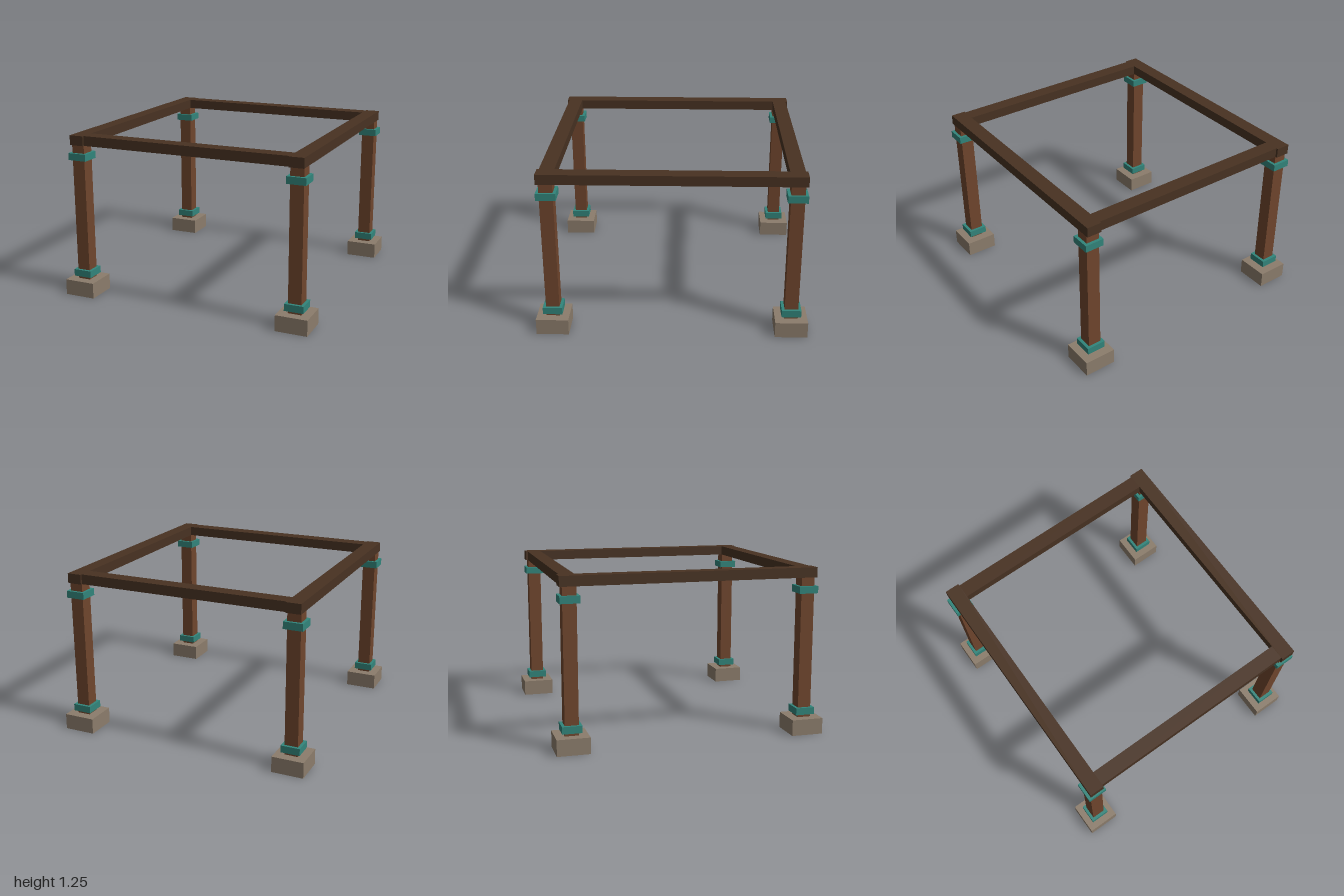
import * as THREE from 'three';

const material = (name, color) => {
  const m = new THREE.MeshStandardMaterial({ color });
  m.name = name;
  return m;
};

export function createModel() {
  const model = new THREE.Group();
  model.name = 'pergolaFrame';

  const stone = material('stone', 0x8c7d6c);
  const postWood = material('post wood', 0x70462d);
  const beamWood = material('beam wood', 0x483222);
  const teal = material('teal band', 0x32857b);

  // Box resting on height y0, centred on x and z
  const box = (parent, name, mat, [w, h, d], x, y0, z) => {
    const mesh = new THREE.Mesh(new THREE.BoxGeometry(w, h, d), mat);
    mesh.name = name;
    mesh.position.set(x, y0 + h / 2, z);
    parent.add(mesh);
  };

  const px = 0.86, pz = 0.88; // post centres
  const beamY = 1.172, beamH = 0.074, beamW = 0.11;

  // Four posts, each with a stone footing and two bands
  for (const sx of [-1, 1]) {
    for (const sz of [-1, 1]) {
      const corner = new THREE.Group();
      corner.name = `${sz > 0 ? 'front' : 'back'}${sx > 0 ? 'Left' : 'Right'}Post`;
      corner.position.set(sx * px, 0, sz * pz);
      box(corner, 'footing', stone, [0.24, 0.12, 0.24], 0, 0, 0);
      box(corner, 'post', postWood, [0.1, beamY - 0.12, 0.1], 0, 0.12, 0);
      box(corner, 'lowerBand', teal, [0.144, 0.053, 0.144], 0, 0.142, 0);
      box(corner, 'upperBand', teal, [0.144, 0.053, 0.144], 0, 1.057, 0);
      model.add(corner);
    }
  }

  // Side beams run past the corners; front and back beams butt between them
  for (const s of [-1, 1]) {
    box(model, s > 0 ? 'leftBeam' : 'rightBeam', beamWood, [beamW, beamH, 1.9], s * px, beamY, 0);
    box(model, s > 0 ? 'frontBeam' : 'backBeam', beamWood, [2 * px - beamW, beamH, beamW], 0, beamY, s * pz);
  }

  return model;
}
